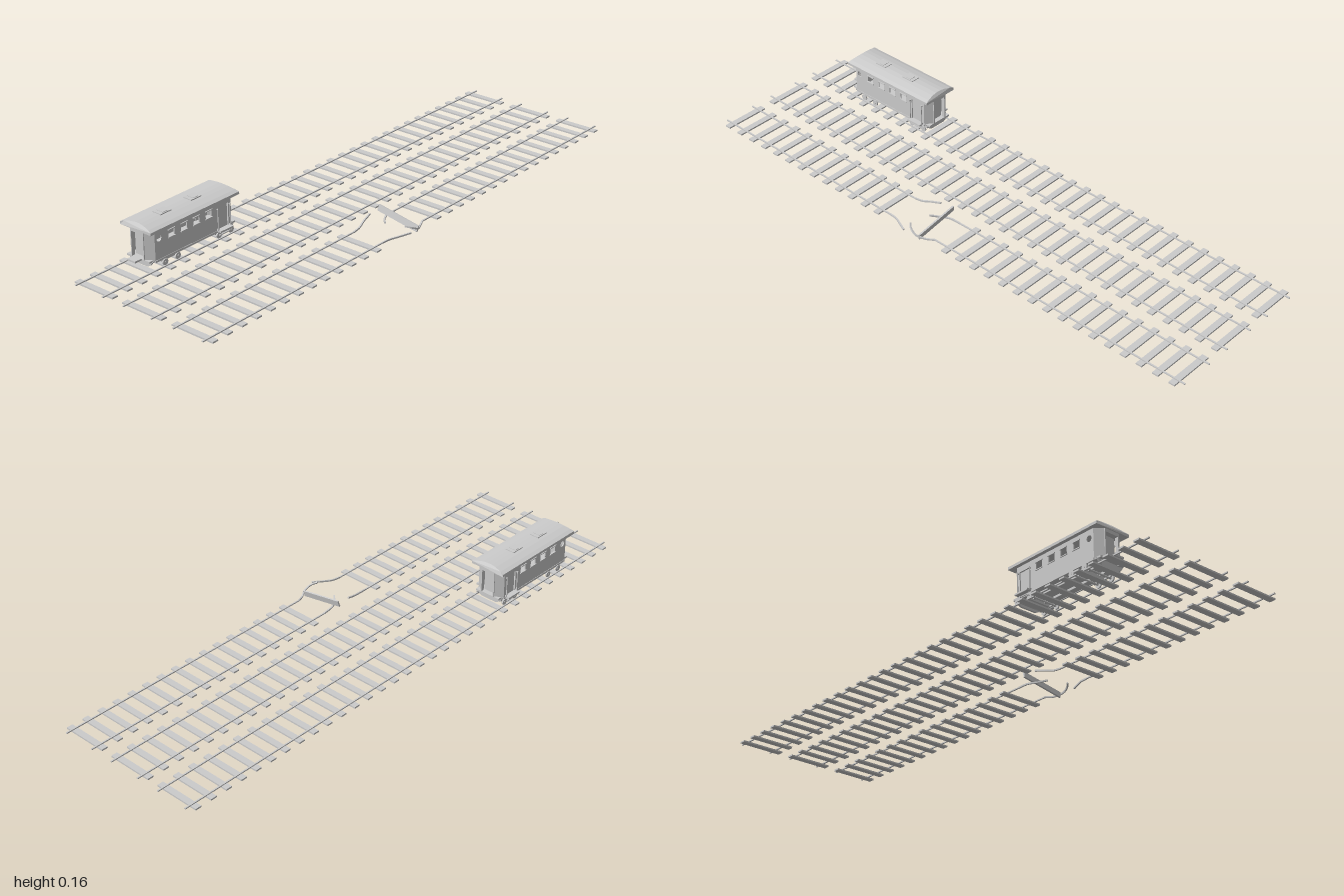
import * as THREE from 'three';

const mat = new THREE.MeshStandardMaterial({ color: 0xcccccc, flatShading: true, side: THREE.DoubleSide });

function add(parent, name, geo, x = 0, y = 0, z = 0) {
  const m = new THREE.Mesh(geo, mat);
  m.name = name;
  m.position.set(x, y, z);
  parent.add(m);
  return m;
}
const box = (parent, name, w, h, d, x, y, z) => add(parent, name, new THREE.BoxGeometry(w, h, d), x, y, z);

function polygon(points) {
  return new THREE.Shape(points.map(([a, b]) => new THREE.Vector2(a, b)));
}
function rectHole(x, y, w, h) {
  return new THREE.Path([[-1, -1], [-1, 1], [1, 1], [1, -1]].map(([a, b]) => new THREE.Vector2(x + a * w / 2, y + b * h / 2)));
}

// Track dimensions
const GAUGE = 0.058, PITCH = 0.0606, FIRST = -0.971, RAIL_Y = 0.013;
const TRACKS = [-0.211, -0.008, 0.196];
const sleeperGeo = new THREE.BoxGeometry(0.022, 0.0055, 0.162);

function rail(parent, x0, x1, z) {
  box(parent, 'rail', x1 - x0, 0.004, 0.005, (x0 + x1) / 2, RAIL_Y, z);
}

// Square rail section swept along a bent path
function bentRail(parent, points) {
  const curve = new THREE.CatmullRomCurve3(points.map(p => new THREE.Vector3(...p)));
  const s = 0.0026;
  const section = polygon([[-s, -s], [s, -s], [s, s], [-s, s]]);
  add(parent, 'bentRail', new THREE.ExtrudeGeometry(section, { steps: 14, bevelEnabled: false, extrudePath: curve }));
}

function track(z, broken) {
  const g = new THREE.Group();
  g.name = broken ? 'brokenTrack' : 'track';
  for (let i = 0; i < 33; i++) {
    if (broken && i > 12 && i < 17) continue;
    add(g, 'sleeper', sleeperGeo, FIRST + i * PITCH, 0.0088, z);
  }
  for (const s of [-1, 1]) {
    if (broken) {
      rail(g, -1, -0.2, z + s * GAUGE);
      rail(g, 0, 1, z + s * GAUGE);
    } else rail(g, -1, 1, z + s * GAUGE);
  }
  return g;
}

function damage(g) {
  const a = TRACKS[2] - GAUGE, b = TRACKS[2] + GAUGE;
  bentRail(g, [[-0.2, RAIL_Y, a], [-0.17, 0.016, a - 0.003], [-0.14, 0.024, a - 0.011], [-0.1, 0.035, a - 0.017]]);
  bentRail(g, [[-0.2, RAIL_Y, b], [-0.17, 0.014, b + 0.004], [-0.14, 0.017, b + 0.018], [-0.103, 0.022, b + 0.037]]);
  bentRail(g, [[0, RAIL_Y, a], [-0.04, 0.015, a + 0.004], [-0.07, 0.014, a + 0.018], [-0.096, 0.02, a + 0.042]]);
  bentRail(g, [[0, RAIL_Y, b], [-0.03, 0.009, b + 0.013], [-0.06, 0.017, b + 0.027], [-0.085, 0.028, b + 0.022], [-0.1, 0.034, b + 0.009]]);
  // Sleeper thrown onto its edge
  const m = add(g, 'looseSleeper', sleeperGeo, -0.05, 0.024, TRACKS[2]);
  m.rotation.set(0.17, 0, 1.35);
}

// Railway carriage, built around its own centre in x and z
function carriage() {
  const g = new THREE.Group();
  g.name = 'carriage';
  const L = 0.185, SIDE = 0.165, W = 0.053, T = 0.004, Y0 = 0.036, Y1 = 0.142;
  const doorX = 0.13, windows = [-0.094, -0.04, 0.013, 0.067];

  // Side walls with open windows, a small round window and a door
  for (const s of [-1, 1]) {
    const wall = polygon([[-SIDE, Y0], [SIDE, Y0], [SIDE, Y1], [-SIDE, Y1]]);
    for (const x of windows) wall.holes.push(rectHole(x, 0.111, 0.026, 0.023));
    wall.holes.push(new THREE.Path().absarc(-0.147, 0.111, 0.011, 0, Math.PI * 2, true));
    wall.holes.push(rectHole(doorX, 0.081, 0.046, 0.078));
    const geo = new THREE.ExtrudeGeometry(wall, { depth: T, bevelEnabled: false, curveSegments: 4 });
    add(g, 'sideWall', geo, 0, 0, s * (W - T / 2) - T / 2);
    box(g, 'sideDoor', 0.046, 0.078, 0.002, doorX, 0.081, s * 0.047);
    for (const x of windows) {
      box(g, 'windowSill', 0.031, 0.003, 0.004, x, 0.098, s * 0.054);
      box(g, 'windowHead', 0.031, 0.003, 0.004, x, 0.124, s * 0.054);
    }
    for (const d of [-0.027, 0.027]) box(g, 'doorHandrail', 0.003, 0.076, 0.003, doorX + d, 0.081, s * 0.0585);
    for (const y of [0.046, 0.115]) for (const d of [-0.027, 0.027])
      box(g, 'handrailBracket', 0.003, 0.003, 0.007, doorX + d, y, s * 0.056);
    box(g, 'doorStep', 0.056, 0.006, 0.018, doorX, 0.041, s * 0.061);
    box(g, 'lowerStep', 0.046, 0.003, 0.012, doorX, 0.026, s * 0.055);
    for (const d of [-0.021, 0.021]) box(g, 'stepHanger', 0.003, 0.016, 0.003, doorX + d, 0.034, s * 0.055);
    box(g, 'sill', SIDE * 2, 0.007, 0.005, 0, 0.038, s * 0.052);
  }

  // Ends with slanted corner panels and a recessed gangway door
  for (const e of [-1, 1]) {
    for (const s of [-1, 1]) {
      const plan = polygon([[e * SIDE, s * W], [e * L, s * 0.028], [e * (L - 0.006), s * 0.026], [e * (SIDE - 0.003), s * (W - T)]]);
      const geo = new THREE.ExtrudeGeometry(plan, { depth: Y1 - Y0, bevelEnabled: false });
      geo.rotateX(Math.PI / 2);
      add(g, 'cornerPanel', geo, 0, Y1, 0);
      box(g, 'doorPost', 0.012, 0.088, 0.004, e * (L - 0.003), 0.085, s * 0.026);
    }
    box(g, 'endDoor', 0.004, 0.09, 0.054, e * (L - 0.018), 0.084, 0);
    box(g, 'endDoorPanel', 0.004, 0.074, 0.032, e * (L - 0.014), 0.084, 0);
    box(g, 'endHeader', 0.012, 0.014, 0.056, e * (L - 0.003), 0.135, 0);
    box(g, 'endPlatform', 0.02, 0.006, 0.096, e * (L - 0.008), 0.041, 0);

    // Tapered apron below each end
    const apron = polygon([[-0.05, 0.038], [-0.044, 0.028], [-0.03, 0.02], [0.03, 0.02], [0.044, 0.028], [0.05, 0.038]]);
    const apronGeo = new THREE.ExtrudeGeometry(apron, { depth: 0.006, bevelEnabled: false });
    apronGeo.rotateY(Math.PI / 2);
    add(g, 'apron', apronGeo, e * (L - 0.01) - 0.003, 0, 0);
  }
  box(g, 'gangwayPlate', 0.028, 0.006, 0.034, -0.202, 0.044, 0);

  // Floor and underframe
  box(g, 'floor', 0.346, 0.005, 0.1, 0, 0.039, 0);
  for (const s of [-1, 1]) box(g, 'underframeBeam', 0.33, 0.008, 0.006, 0, 0.033, s * 0.022);

  // Arched roof whose upper part draws in at both ends
  const half = [[0.066, 0.139], [0.066, 0.148], [0.052, 0.153], [0.028, 0.158], [0.01, 0.16]];
  const profile = polygon([...half, ...half.map(([z, y]) => [-z, y]).reverse()]);
  const roofGeo = new THREE.ExtrudeGeometry(profile, { depth: 0.384, bevelEnabled: false });
  roofGeo.translate(0, 0, -0.192).rotateY(Math.PI / 2);
  const p = roofGeo.attributes.position;
  for (let i = 0; i < p.count; i++) {
    const rise = Math.max(0, p.getY(i) - 0.148);
    p.setX(i, p.getX(i) - Math.sign(p.getX(i)) * rise * 0.8);
  }
  roofGeo.computeVertexNormals();
  add(g, 'roof', roofGeo);
  for (const x of [-0.078, 0.053]) {
    box(g, 'roofVent', 0.046, 0.005, 0.034, x, 0.16, 0);
    box(g, 'roofVentLid', 0.02, 0.002, 0.026, x, 0.163, 0);
  }

  // Two bogies
  const wheelGeo = new THREE.CylinderGeometry(0.011, 0.011, 0.005, 12).rotateX(Math.PI / 2);
  const axleGeo = new THREE.CylinderGeometry(0.003, 0.003, 0.116, 8).rotateX(Math.PI / 2);
  for (const x of [-0.1, 0.135]) {
    const bogie = new THREE.Group();
    bogie.name = 'bogie';
    bogie.position.x = x;
    box(bogie, 'bolster', 0.02, 0.008, 0.08, 0, 0.029, 0);
    for (const d of [-0.027, 0.027]) {
      add(bogie, 'axle', axleGeo, d, 0.025, 0);
      for (const s of [-1, 1]) add(bogie, 'wheel', wheelGeo, d, 0.025, s * 0.054);
    }
    for (const s of [-1, 1]) box(bogie, 'bogieFrame', 0.072, 0.006, 0.005, 0, 0.028, s * 0.044);
    g.add(bogie);
  }
  g.position.set(-0.61, 0, TRACKS[0]);
  return g;
}

export function createModel() {
  const root = new THREE.Group();
  root.name = 'railwayYard';
  TRACKS.forEach((z, i) => {
    const t = track(z, i === 2);
    if (i === 2) damage(t);
    root.add(t);
  });
  root.add(carriage());
  return root;
}
